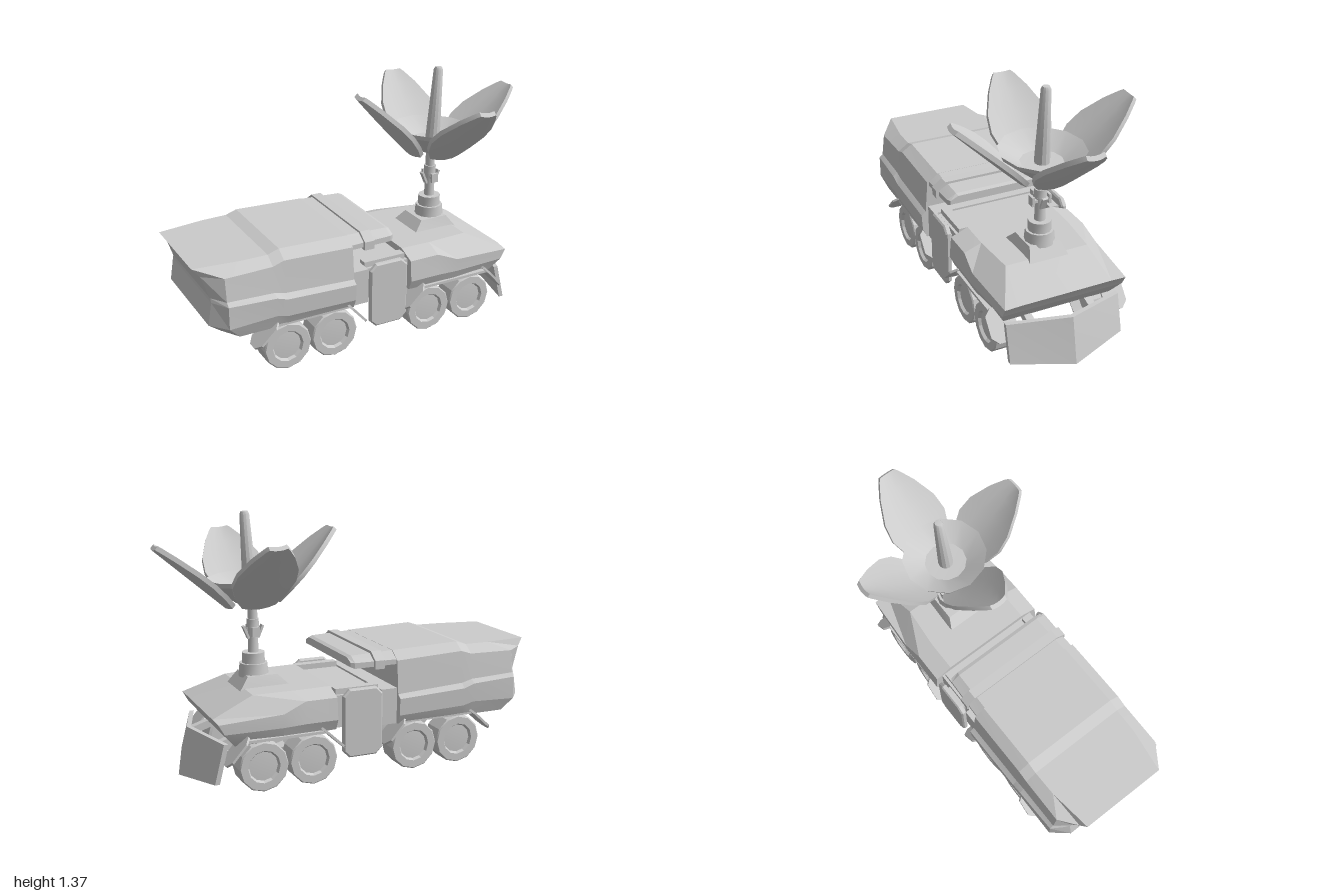
import * as THREE from 'three';
import { toCreasedNormals } from 'three/addons/utils/BufferGeometryUtils.js';

const mat = new THREE.MeshStandardMaterial({ color: 0xcccccc, side: THREE.DoubleSide });

function add(parent, geo, name, x = 0, y = 0, z = 0) {
  const m = new THREE.Mesh(geo, mat);
  m.name = name;
  m.position.set(x, y, z);
  parent.add(m);
  return m;
}
const box = (w, h, d) => new THREE.BoxGeometry(w, h, d);
const cyl = (top, bottom, h, n = 12) => toCreasedNormals(new THREE.CylinderGeometry(top, bottom, h, n), 0.6);
const lathe = (pts, n) => toCreasedNormals(new THREE.LatheGeometry(pts.map(p => new THREE.Vector2(...p)), n), 0.4);

// Skin closed rings of [x, y, z] points and cap both ends
function loft(rings, crease = 0.15) {
  const n = rings[0].length, pos = [];
  const quad = (a, b, c, d) => [a, b, c, a, c, d].forEach(p => pos.push(...p));
  for (let s = 0; s < rings.length - 1; s++)
    for (let i = 0; i < n; i++) {
      const j = (i + 1) % n;
      quad(rings[s][i], rings[s][j], rings[s + 1][j], rings[s + 1][i]);
    }
  const a = rings[0], b = rings[rings.length - 1];
  for (let i = 0; i < n / 2 - 1; i++) {
    quad(a[i], a[n - 1 - i], a[n - 2 - i], a[i + 1]);
    quad(b[i], b[i + 1], b[n - 2 - i], b[n - 1 - i]);
  }
  const g = new THREE.BufferGeometry();
  g.setAttribute('position', new THREE.Float32BufferAttribute(pos, 3));
  return toCreasedNormals(g, crease);
}
// Half section (top to bottom, +z side) mirrored to a full ring
const mirror = half => [...half, ...half.map(([x, y, z]) => [x, y, -z]).reverse()];
const section = (x, half) => mirror(half.map(([y, z]) => [x, y, z]));

// Flat outline with cut corners, extruded along z
function plate(w, h, cut, depth, bevel = 0) {
  const a = w / 2, b = h / 2;
  const s = new THREE.Shape([[-a + cut, -b], [a - cut, -b], [a, -b + cut], [a, b - cut],
    [a - cut, b], [-a + cut, b], [-a, b - cut], [-a, -b + cut]].map(p => new THREE.Vector2(...p)));
  return new THREE.ExtrudeGeometry(s, { depth, bevelEnabled: bevel > 0, bevelSize: bevel, bevelThickness: bevel, bevelOffset: -bevel, bevelSegments: 1 });
}

// Curved dish petal growing along +x, with cupped surface and thickness
function petal() {
  const keys = [[0, 0.09], [0.15, 0.135], [0.35, 0.165], [0.55, 0.155], [0.8, 0.105], [0.96, 0.06], [1, 0.045]];
  const us = [-1, -0.5, 0, 0.5, 1], k = Math.SQRT1_2;
  return loft(keys.map(([t, w]) => {
    const pt = (u, off) => {
      const lift = off + 0.03 * u * u * (w / 0.165);
      return [0.13 + 0.345 * t - k * lift, -0.07 + 0.335 * t + k * lift, u * w];
    };
    return [...us.map(u => pt(u, 0.012)), ...us.map(u => pt(-u, -0.012))];
  }), 0.6);
}

export function createModel() {
  const g = new THREE.Group();
  g.name = 'dishTruck';

  // Rear hull with tapered tail
  add(g, loft([
    mirror([[-1, 0.635, 0.24], [-0.965, 0.595, 0.26], [-0.925, 0.475, 0.27], [-0.925, 0.455, 0.28], [-0.945, 0.335, 0.28], [-0.87, 0.27, 0.25]]),
    mirror([[-0.76, 0.638, 0.272], [-0.87, 0.595, 0.335], [-0.87, 0.475, 0.35], [-0.87, 0.455, 0.37], [-0.87, 0.335, 0.37], [-0.81, 0.27, 0.345]]),
    section(-0.62, [[0.64, 0.275], [0.6, 0.335], [0.465, 0.35], [0.445, 0.375], [0.345, 0.37], [0.27, 0.345]]),
    section(-0.56, [[0.66, 0.275], [0.62, 0.335], [0.45, 0.35], [0.425, 0.375], [0.33, 0.37], [0.27, 0.345]]),
    section(-0.18, [[0.648, 0.275], [0.605, 0.335], [0.43, 0.35], [0.41, 0.375], [0.32, 0.37], [0.27, 0.345]]),
  ]), 'rearHull');

  // Roof canopy reaching over the joint, with a raised band
  add(g, loft([
    section(-0.2, [[0.648, 0.27], [0.61, 0.325], [0.585, 0.325]]),
    section(0.05, [[0.638, 0.265], [0.61, 0.315], [0.58, 0.315]]),
    section(0.07, [[0.63, 0.26], [0.61, 0.305], [0.588, 0.305]]),
  ]), 'roofCanopy');
  const band = [[0.655, 0.28], [0.615, 0.335], [0.57, 0.335]];
  add(g, loft([section(-0.11, band), section(-0.055, band)]), 'roofBand');

  // Joint between the two hulls
  add(g, box(0.36, 0.17, 0.62), 'joint', -0.01, 0.365, 0);
  add(g, box(0.1, 0.19, 0.67), 'jointCollar', -0.14, 0.365, 0);
  for (const s of [1, -1]) add(g, box(0.24, 0.03, 0.05), 'jointRail', 0.03, 0.465, s * 0.27);

  // Front hull with wedge nose
  add(g, loft([
    section(0.16, [[0.487, 0.25], [0.45, 0.345], [0.335, 0.355], [0.28, 0.33]]),
    section(0.33, [[0.485, 0.25], [0.45, 0.345], [0.335, 0.355], [0.275, 0.33]]),
    mirror([[0.57, 0.48, 0.23], [0.45, 0.4, 0.355], [0.45, 0.33, 0.355], [0.45, 0.265, 0.33]]),
    mirror([[0.785, 0.385, 0.25], [0.78, 0.378, 0.335], [0.75, 0.325, 0.335], [0.69, 0.25, 0.3]]),
  ]), 'frontHull');

  // V-shaped plough blade and its arms
  add(g, loft([[0.315, 0, 0.27, 0.07], [0, 0.1, 0.285, 0.035], [-0.315, 0, 0.27, 0.07]].map(([z, dx, top, low]) =>
    [[0.75 + dx, top, z], [0.8 + dx, low, z], [0.775 + dx, low, z], [0.725 + dx, top, z]])), 'ploughBlade');
  for (const s of [1, -1]) {
    add(g, box(0.16, 0.04, 0.04), 'ploughArm', 0.71, 0.23, s * 0.17).rotation.z = -0.3;
  }

  // Wheels, fenders and side panels on both sides
  const wheel = lathe([[0, 0.05], [0.1, 0.05], [0.115, 0], [0.13, 0.004], [0.13, 0.121], [0.124, 0.127],
    [0.085, 0.127], [0.076, 0.112], [0, 0.116]], 12).rotateX(Math.PI / 2);
  const panel = plate(0.22, 0.36, 0.035, 0.015, 0.008);
  const flap = plate(0.125, 0.18, 0.035, 0.012).translate(0, 0, -0.006).rotateY(Math.PI / 2).rotateZ(-Math.PI / 2);
  for (const s of [1, -1]) {
    const side = new THREE.Group();
    side.name = s > 0 ? 'leftSide' : 'rightSide';
    for (const x of [-0.55, -0.285, 0.285, 0.55]) {
      const w = add(side, wheel, 'wheel', x, 0.135, s * 0.208);
      if (s < 0) w.rotation.y = Math.PI;
    }
    for (const [x0, x1] of [[-0.67, -0.165], [0.18, 0.69]]) {
      add(side, box(x1 - x0 - 0.08, 0.014, 0.15), 'fender', (x0 + x1) / 2, 0.278, s * 0.275);
      add(side, octFlap(flap), 'rearFlap', x0, 0.24, s * 0.32).rotation.z = 0.75;
      add(side, octFlap(flap), 'frontFlap', x1, 0.235, s * 0.32).rotation.z = -0.85;
    }
    add(side, panel, 'sidePanel', 0.022, 0.307, s > 0 ? 0.337 : -0.352);
    add(side, box(0.14, 0.12, 0.05), 'panelMount', 0.022, 0.36, s * 0.32);
    g.add(side);
  }

  // Turret pedestal and jointed mast
  add(g, loft([
    mirror([[0.385, 0.535, 0.085], [0.32, 0.47, 0.12]]),
    mirror([[0.545, 0.535, 0.085], [0.62, 0.435, 0.12]]),
  ]), 'pedestal');
  for (const [name, top, bottom, y0, y1] of [
    ['turretRing', 0.073, 0.08, 0.52, 0.59], ['turretCollar', 0.06, 0.06, 0.59, 0.645],
    ['mastLower', 0.026, 0.028, 0.645, 0.77], ['mastKnuckle', 0.032, 0.032, 0.775, 0.82],
    ['mastUpper', 0.025, 0.025, 0.75, 0.93]])
    add(g, cyl(top, bottom, y1 - y0), name, 0.485, (y0 + y1) / 2, 0);
  for (const s of [1, -1]) {
    add(g, box(0.04, 0.05, 0.014), 'mastBracket', 0.485, 0.757, s * 0.047);
    add(g, box(0.012, 0.07, 0.03), 'mastClaw', 0.485 + s * 0.038, 0.75, 0).rotation.z = -s * 0.4;
  }
  add(g, box(0.03, 0.015, 0.1), 'mastPin', 0.485, 0.755, 0);

  // Dish head, tipped slightly forward
  const dish = new THREE.Group();
  dish.name = 'dish';
  dish.position.set(0.495, 0.97, 0);
  dish.rotation.z = -0.06;
  add(dish, lathe([[0, -0.075], [0.08, -0.06], [0.21, 0.045], [0.22, 0.07], [0.11, 0], [0, -0.005]], 12), 'bowl');
  add(dish, lathe([[0.04, -0.02], [0.036, 0.1], [0.025, 0.385], [0.018, 0.4], [0, 0.402]], 12), 'antenna');
  const leaf = petal();
  for (let i = 0; i < 4; i++) add(dish, leaf, 'petal', 0, 0, 0).rotation.y = i * Math.PI / 2;
  g.add(dish);
  return g;
}

// Shared flap laid flat: long side along z
function octFlap(geo) {
  geo.computeBoundingBox();
  const b = geo.boundingBox;
  if (b.max.x - b.min.x < b.max.y - b.min.y) geo.rotateZ(Math.PI / 2);
  return geo;
}
